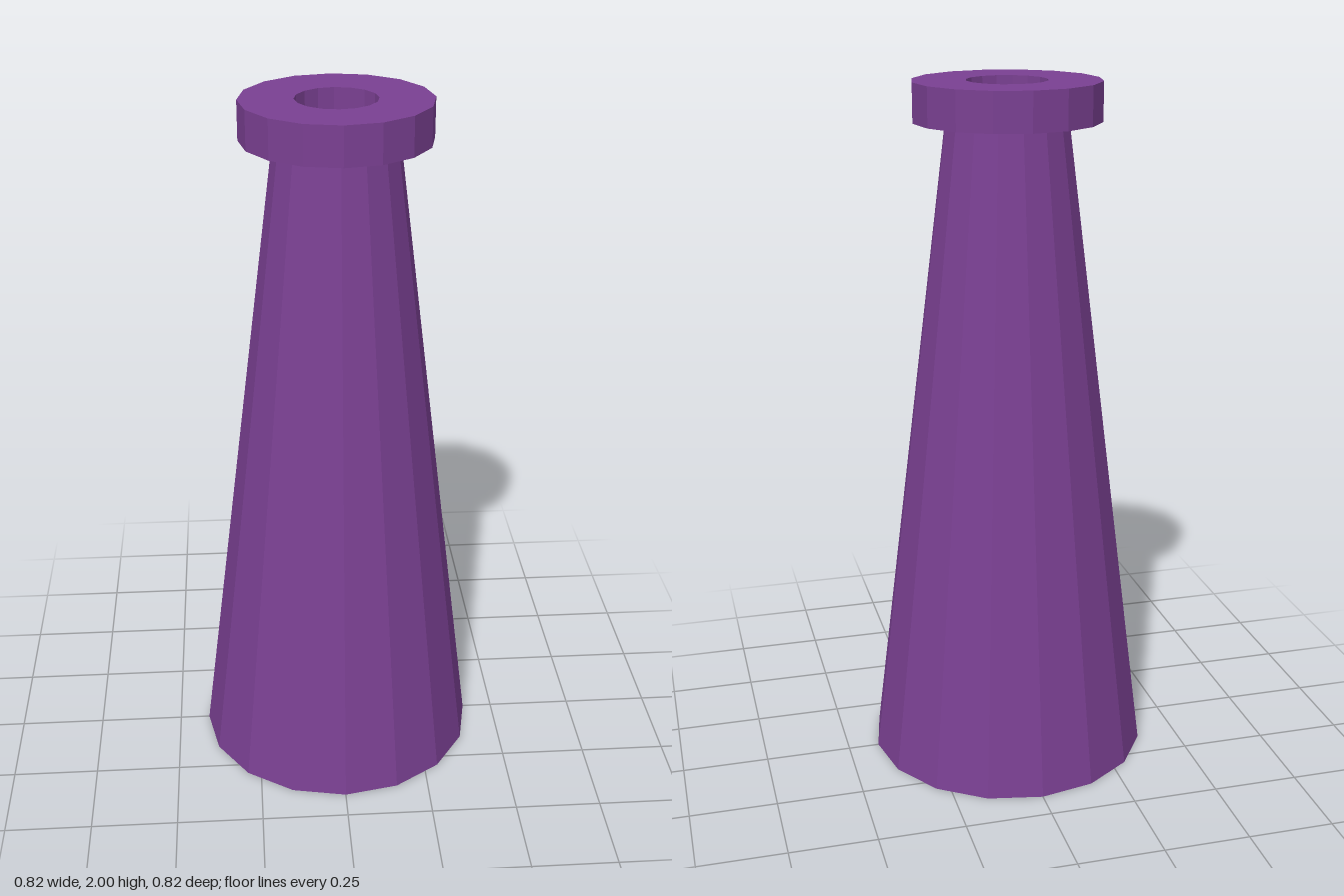
import * as THREE from 'three';

const SIDES = 16;

export function createModel() {
  const group = new THREE.Group();
  const purple = new THREE.MeshStandardMaterial({ color: 0x7a4092, flatShading: true });

  const add = (name, geometry) => {
    const mesh = new THREE.Mesh(geometry, purple);
    mesh.name = name;
    group.add(mesh);
    return mesh;
  };

  // Tapered body, closed at both ends; its top is the floor of the rim's hole
  const body = add('taperedBody', new THREE.CylinderGeometry(0.173, 0.41, 1.89, SIDES));
  body.position.y = 1.89 / 2;

  // Collar ring with a round opening, turned from a closed rectangular profile
  const profile = [
    [0.265, 1.89], [0.265, 2], [0.114, 2], [0.114, 1.89], [0.265, 1.89],
  ].map(([r, y]) => new THREE.Vector2(r, y));
  add('collarRing', new THREE.LatheGeometry(profile, SIDES));

  return group;
}
